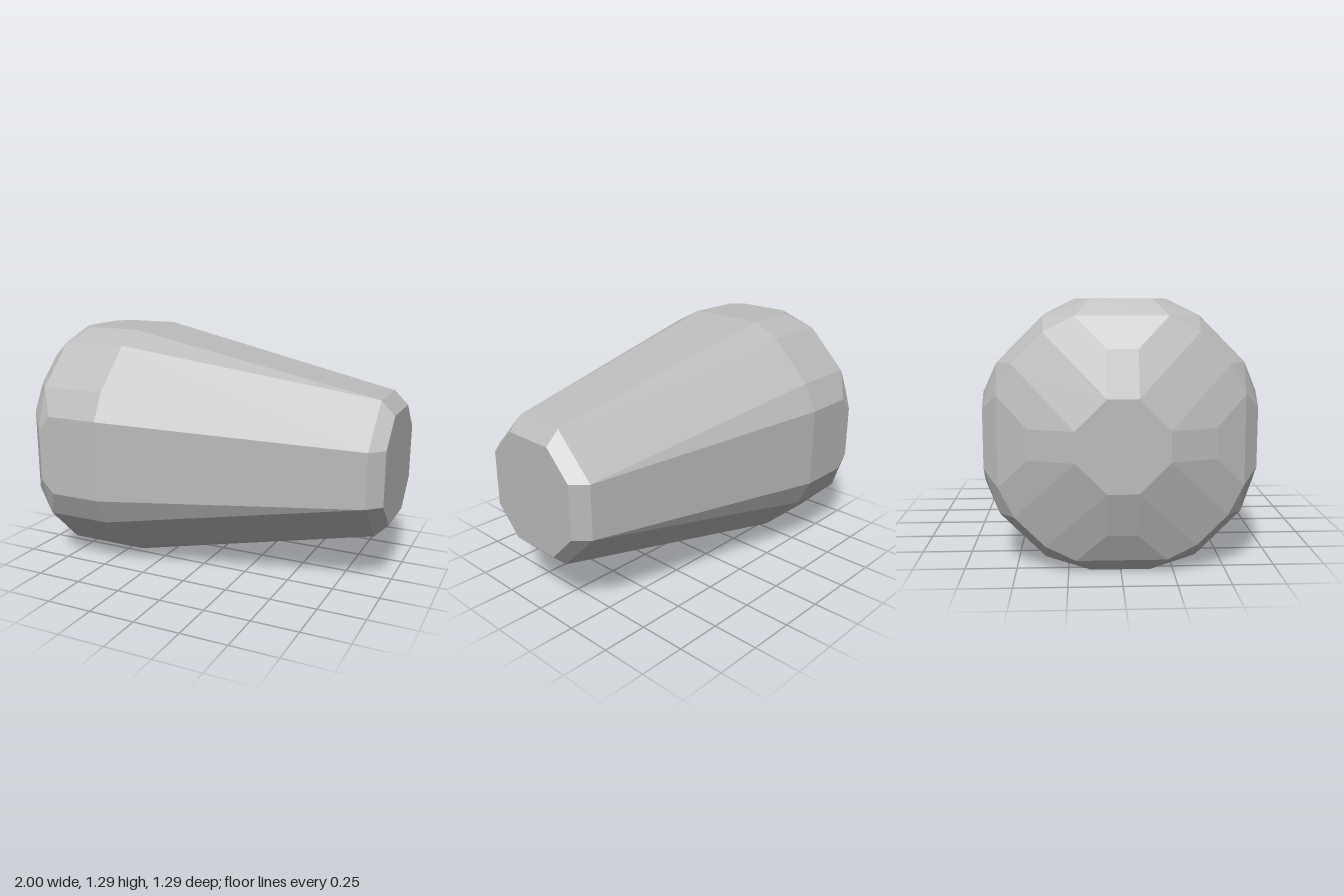
import * as THREE from 'three';
import { ConvexGeometry } from 'three/addons/geometries/ConvexGeometry.js';

const U = 1 / 14; // grid unit: the body is 28 units long and 18 wide
const CENTRE_Y = 9 * U;

// Cross-sections along x: [x, corner points (a, b)], each mirrored into all eight octants
const SECTIONS = [
  [14, [[4, 2]]],           // small flat end
  [13, [[5, 2]]],           // bevel of the small end
  [-6, [[9, 3], [8, 5]]],   // start of the taper
  [-10, [[9, 3]]],          // chamfered corners of the wide end
  [-11, [[9, 2], [8, 5]]],
  [-12, [[8, 3], [7, 5]]],  // dome
  [-13, [[6, 1]]],
  [-14, [[3, 1]]],
];

function octants(x, a, b) {
  const points = [];
  for (const [y, z] of [[a, b], [b, a]])
    for (const sy of [1, -1])
      for (const sz of [1, -1])
        points.push(new THREE.Vector3(x * U, CENTRE_Y + sy * y * U, sz * z * U));
  return points;
}

export function createModel() {
  const group = new THREE.Group();
  group.name = 'taperedPlug';
  const grey = new THREE.MeshStandardMaterial({ color: 0xbbbbbb });
  grey.name = 'grey';
  grey.flatShading = true;

  // Faceted tapered body with a domed wide end
  const points = SECTIONS.flatMap(([x, corners]) => corners.flatMap(([a, b]) => octants(x, a, b)));
  const body = new THREE.Mesh(new ConvexGeometry(points), grey);
  body.name = 'taperedBody';
  group.add(body);
  return group;
}
